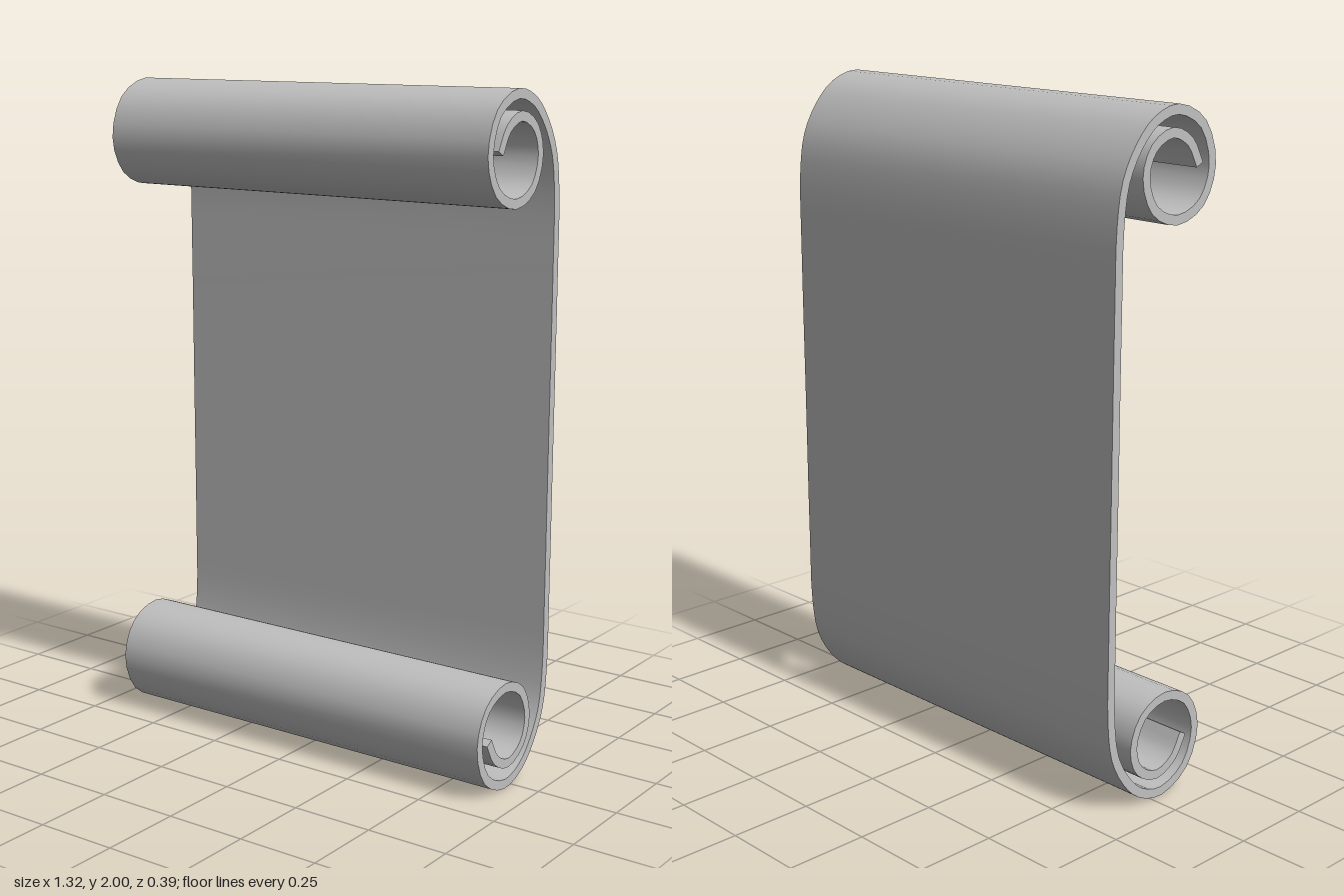
import * as THREE from 'three';
import { toCreasedNormals } from 'three/addons/utils/BufferGeometryUtils.js';

const WIDTH = 1.32;
const THICKNESS = 0.028;

// Centre line of the upper half as [z, y], from inside the curl to mid-sheet
const CURL = [
  [0.13, 1.83], [0.09, 1.895], [0.02, 1.925], [-0.055, 1.89], [-0.083, 1.815],
  [-0.047, 1.727], [0.045, 1.69], [0.142, 1.728], [0.183, 1.825], [0.142, 1.937],
  [0.04, 1.985], [-0.05, 1.96], [-0.113, 1.9], [-0.16, 1.815], [-0.179, 1.7],
  [-0.182, 1.5], [-0.182, 1.0],
];

// Full centre line: upper curl, flat sheet, mirrored lower curl
function centreLine() {
  const curve = new THREE.CatmullRomCurve3(CURL.map(([z, y]) => new THREE.Vector3(-z, y, 0)));
  const upper = curve.getPoints((CURL.length - 1) * 3).map((p) => new THREE.Vector2(p.x, p.y));
  const lower = upper.slice(0, -1).reverse().map((p) => new THREE.Vector2(p.x, 2 - p.y));
  return [...upper, ...lower];
}

// Closed strip outline made by offsetting the line to both sides
function stripShape(line, thickness) {
  const side = (sign) => line.map((p, i) => {
    const a = line[Math.max(i - 1, 0)];
    const b = line[Math.min(i + 1, line.length - 1)];
    const t = b.clone().sub(a).normalize();
    return new THREE.Vector2(p.x - t.y * sign * thickness / 2, p.y + t.x * sign * thickness / 2);
  });
  return new THREE.Shape([...side(1), ...side(-1).reverse()]);
}

export function createModel() {
  const group = new THREE.Group();
  group.name = 'scroll';

  const paper = new THREE.MeshStandardMaterial({ color: 0xc0c0c0 });
  paper.name = 'grey paper';

  // Rolled sheet, extruded across its width
  const geometry = new THREE.ExtrudeGeometry(stripShape(centreLine(), THICKNESS), {
    depth: WIDTH, bevelEnabled: false,
  });
  geometry.translate(0, 0, -WIDTH / 2);
  geometry.rotateY(Math.PI / 2);

  const sheet = new THREE.Mesh(toCreasedNormals(geometry, 0.8), paper);
  sheet.name = 'rolledSheet';
  group.add(sheet);
  return group;
}
